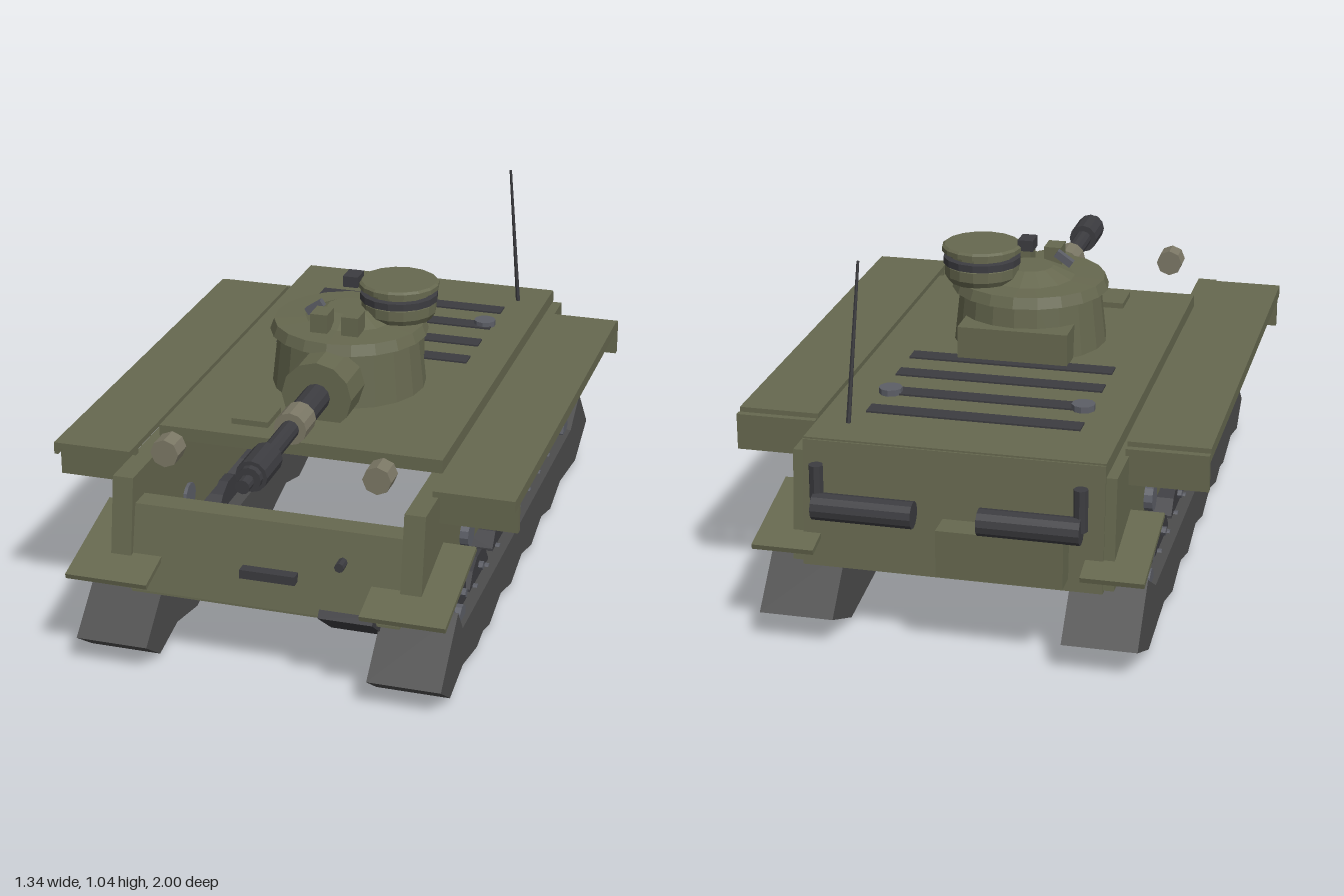
import * as THREE from 'three';

const mat = (color) => new THREE.MeshStandardMaterial({ color, flatShading: true, side: THREE.DoubleSide });

export function createModel() {
  const root = new THREE.Group();
  const olive = mat(0x66684f), dark = mat(0x3c3c40), track = mat(0x4c4c4c), pale = mat(0x7c7866), steel = mat(0x5c5e66);

  const add = (name, geo, m, x = 0, y = 0, z = 0) => {
    const mesh = new THREE.Mesh(geo, m);
    mesh.name = name;
    mesh.position.set(x, y, z);
    root.add(mesh);
    return mesh;
  };
  // box given by its min and max on each axis
  const box = (name, m, [x0, x1], [y0, y1], [z0, z1]) =>
    add(name, new THREE.BoxGeometry(x1 - x0, y1 - y0, z1 - z0), m, (x0 + x1) / 2, (y0 + y1) / 2, (z0 + z1) / 2);
  // plate running between two (z, y) points
  const plate = (name, m, [x0, x1], [z0, y0], [z1, y1], t) => {
    const p = add(name, new THREE.BoxGeometry(x1 - x0, t, Math.hypot(z1 - z0, y1 - y0)), m,
      (x0 + x1) / 2, (y0 + y1) / 2, (z0 + z1) / 2);
    p.rotation.x = -Math.atan2(y1 - y0, z1 - z0);
    return p;
  };
  // solid from a (z, y) outline, spanning x0..x1
  const sideSolid = (name, m, pts, x0, x1) => {
    const geo = new THREE.ExtrudeGeometry(new THREE.Shape(pts.map(([z, y]) => new THREE.Vector2(-z, y))),
      { depth: x1 - x0, bevelEnabled: false });
    geo.rotateY(Math.PI / 2);
    return add(name, geo, m, x0);
  };
  // cylinders along an axis
  const cylZ = (name, m, r, z0, z1, x, y, n = 12) =>
    add(name, new THREE.CylinderGeometry(r, r, z1 - z0, n).rotateX(Math.PI / 2), m, x, y, (z0 + z1) / 2);
  const cylX = (name, m, r, x0, x1, y, z, n = 12) =>
    add(name, new THREE.CylinderGeometry(r, r, Math.abs(x1 - x0), n).rotateZ(Math.PI / 2), m, (x0 + x1) / 2, y, z);
  const span = (s, a, b) => (s > 0 ? [a, b] : [-b, -a]);

  // Hull: open underneath and behind the front plate
  box('deck', olive, [-0.42, 0.42], [0.545, 0.585], [-0.88, 0.53]);
  sideSolid('frontPlate', olive, [[0.8, 0.465], [0.855, 0.225], [0.79, 0.225], [0.73, 0.465]], -0.39, 0.39);
  plate('nosePlate', olive, [-0.39, 0.39], [0.85, 0.222], [0.57, 0.2], 0.012);
  box('frontFloor', olive, [-0.32, 0.32], [0.185, 0.2], [0.5, 0.75]);
  sideSolid('rearPlate', olive, [[-0.87, 0.58], [-0.885, 0.58], [-0.915, 0.22], [-0.885, 0.22]], -0.42, 0.42);

  // Mirrored side parts
  const trackOutline = [[0.93, 0.085], [0.755, 0.24], [0.7, 0.165], [-0.715, 0.165], [-0.84, 0.24], [-0.98, 0.09], [-0.81, 0.015]];
  [-0.57, -0.43, -0.295, -0.16, -0.025, 0.11, 0.245, 0.38, 0.46, 0.53, 0.69, 0.83].forEach((z, i) =>
    trackOutline.push([z, [0.045, 0.01, 0.045, 0.01, 0.045, 0.01, 0.045, 0.01, 0.03, 0.015, 0.045, 0.015][i]]));
  for (const s of [1, -1]) {
    sideSolid('hullSide', olive, [[0.81, 0.545], [0.86, 0.23], [-0.91, 0.23], [-0.88, 0.545]], ...span(s, 0.39, 0.45));
    // fender with outer lip and end plates
    box('fender', olive, span(s, 0.44, 0.67), [0.558, 0.575], [-0.69, 0.71]);
    box('fenderLip', olive, span(s, 0.658, 0.67), [0.54, 0.575], [-0.69, 0.71]);
    box('fenderRearPlate', olive, span(s, 0.44, 0.67), [0.46, 0.565], [-0.72, -0.7]);
    box('fenderFrontPlate', olive, span(s, 0.44, 0.67), [0.46, 0.56], [0.645, 0.665]);
    plate('frontMudguard', olive, span(s, 0.305, 0.545), [0.95, 0.288], [0.62, 0.373], 0.015);
    plate('rearMudguard', olive, span(s, 0.37, 0.545), [-0.98, 0.288], [-0.68, 0.363], 0.015);
    box('sideBox', olive, span(s, 0.38, 0.505), [0.412, 0.485], [-0.515, -0.325]);
    box('sideRail', dark, span(s, 0.44, 0.462), [0.325, 0.343], [-0.02, 0.285]);
    for (const z of [0.4, -0.445]) cylX('returnRoller', steel, 0.04, s * 0.38, s * 0.475, 0.307, z);

    // running gear
    sideSolid('track', track, trackOutline, ...span(s, 0.32, 0.53));
    for (const [z, y, r] of [[0.645, 0.17, 0.122], [0.38, 0.12, 0.12], [0.11, 0.12, 0.12],
      [-0.16, 0.12, 0.12], [-0.43, 0.12, 0.12], [-0.7, 0.17, 0.122]]) {
      cylX('wheel', dark, r, s * 0.36, s * 0.495, y, z, 14);
      cylX('wheelHub', steel, 0.035, s * 0.49, s * 0.515, y, z, 10);
      for (let i = 0; i < 6; i++) {
        const a = (i + 0.5) * Math.PI / 3;
        cylX('wheelBolt', steel, 0.013, s * 0.49, s * 0.508, y + 0.078 * Math.sin(a), z + 0.078 * Math.cos(a), 6);
      }
    }

    // headlights, exhausts and deck caps
    cylZ('headlight', pale, 0.041, 0.72, 0.785, s * 0.305, 0.62, 8);
    cylX('muffler', dark, 0.038, s * 0.09, s * 0.37, 0.42, -0.96);
    add('exhaustPipe', new THREE.CylinderGeometry(0.02, 0.02, 0.12, 8), dark, s * 0.365, 0.475, -0.945);
    add('deckCap', new THREE.CylinderGeometry(0.034, 0.034, 0.018, 10), steel, s * 0.28, 0.594, -0.512);
  }

  // Deck and hull fittings
  for (const z of [-0.645, -0.5, -0.35, -0.205]) box('grille', dark, [-0.305, 0.305], [0.58, 0.59], [z - 0.028, z + 0.028]);
  box('deckHatch', olive, [-0.225, -0.115], [0.58, 0.602], [0.345, 0.46]);
  box('rearBox', olive, [-0.325, 0.025], [0.255, 0.39], [-0.98, -0.9]);
  box('visionSlot', dark, [-0.065, 0.095], [0.31, 0.336], [0.73, 0.862]);
  cylZ('hullGun', dark, 0.014, 0.7, 0.855, 0.22, 0.38, 8);
  plate('towPlate', dark, [0.17, 0.325], [0.885, 0.248], [0.76, 0.155], 0.025);

  // Antenna
  const foot = new THREE.Vector3(0.33, 0.585, -0.757), tip = new THREE.Vector3(0.305, 1.04, -0.71);
  const dir = tip.clone().sub(foot);
  const antenna = add('antenna', new THREE.CylinderGeometry(0.004, 0.007, dir.length(), 6), dark);
  antenna.position.copy(foot).add(tip).multiplyScalar(0.5);
  antenna.quaternion.setFromUnitVectors(new THREE.Vector3(0, 1, 0), dir.normalize());

  // Turret
  const lathe = (name, m, pts, n, x, z) =>
    add(name, new THREE.LatheGeometry(pts.map(([r, y]) => new THREE.Vector2(r, y)), n), m, x, 0, z);
  lathe('turret', olive, [[0.23, 0.585], [0.212, 0.75], [0.236, 0.75], [0.224, 0.782], [0, 0.79]], 20, 0, 0.04);
  box('turretBin', olive, [-0.165, 0.165], [0.585, 0.685], [-0.205, -0.08]);
  lathe('cupolaBase', olive, [[0.14, 0.783], [0.07, 0.815], [0, 0.815]], 14, 0, 0.03);
  lathe('cupola', olive, [[0.1, 0.78], [0.112, 0.8], [0.112, 0.83], [0.1, 0.835], [0.1, 0.868],
    [0.12, 0.872], [0.12, 0.886], [0.112, 0.892], [0, 0.892]], 16, 0.133, -0.028);
  lathe('cupolaRing', dark, [[0.1, 0.83], [0.116, 0.834], [0.116, 0.855], [0.1, 0.858]], 16, 0.133, -0.028);
  box('cupolaSight', dark, [-0.022, 0.024], [0.875, 0.908], [-0.03, 0.035]);
  for (const x of [-0.047, 0.047]) box('periscope', olive, [x - 0.026, x + 0.026], [0.785, 0.842], [0.125, 0.195]);
  const lever = add('turretLever', new THREE.BoxGeometry(0.058, 0.022, 0.022), steel, -0.092, 0.823, 0.087);
  lever.rotation.z = 0.6;

  // Gun
  const gy = 0.657;
  cylZ('mantlet', olive, 0.105, 0.2, 0.365, 0, gy, 12);
  cylZ('barrelSleeve', dark, 0.041, 0.36, 0.53, 0, gy);
  cylZ('barrelCollar', pale, 0.048, 0.515, 0.605, 0, gy);
  cylZ('barrel', dark, 0.027, 0.6, 0.81, 0, gy);
  cylZ('muzzleBrake', dark, 0.045, 0.8, 0.93, 0, gy);
  cylZ('muzzleNeck', dark, 0.034, 0.925, 0.95, 0, gy);
  cylZ('muzzleCore', dark, 0.014, 0.94, 0.975, 0, gy);
  cylZ('muzzleTip', dark, 0.02, 0.965, 1.0, 0, gy);
  return root;
}
